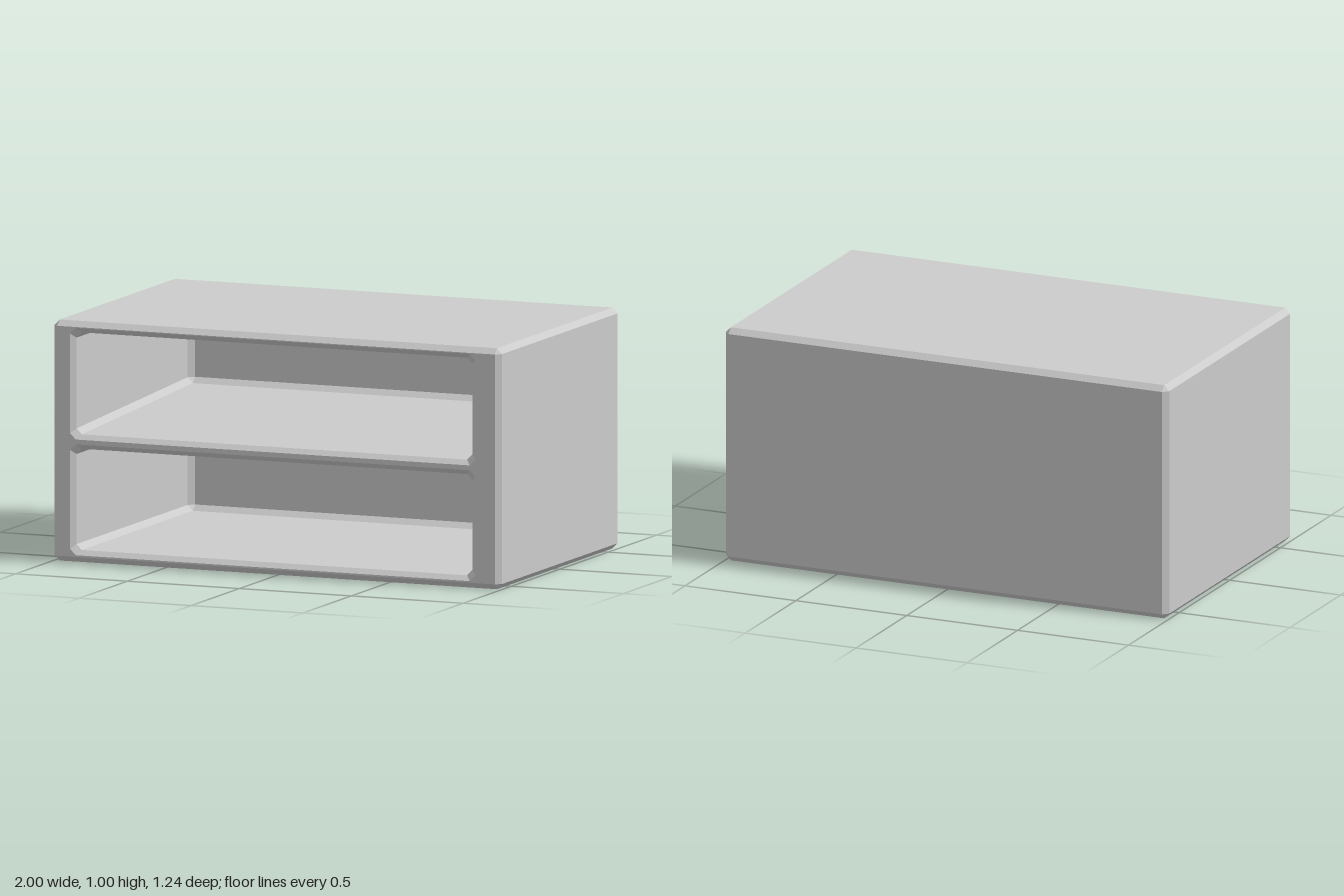
import * as THREE from 'three';

const material = new THREE.MeshStandardMaterial({ color: 0xcccccc, flatShading: true });
const FRONT = 0.62, BEVEL = 0.023;

// Rectangle with cut corners, counter-clockwise seen from the front
function ring(x0, x1, y0, y1, cut, z) {
  return [
    [x0 + cut, y0], [x1 - cut, y0], [x1, y0 + cut], [x1, y1 - cut],
    [x1 - cut, y1], [x0 + cut, y1], [x0, y1 - cut], [x0, y0 + cut],
  ].map(([x, y]) => new THREE.Vector3(x, y, z));
}

// Skin rings from front to back and close the last one; inward turns the faces round
function loft(rings, inward) {
  const points = [];
  const tri = (a, b, c) => {
    if (new THREE.Triangle(a, b, c).getArea() > 1e-8) points.push(a, ...(inward ? [c, b] : [b, c]));
  };
  for (let r = 0; r + 1 < rings.length; r++) {
    const a = rings[r], b = rings[r + 1];
    for (let i = 0; i < 8; i++) {
      const j = (i + 1) % 8;
      tri(a[i], b[i], a[j]);
      tri(a[j], b[i], b[j]);
    }
  }
  const last = rings[rings.length - 1];
  for (let i = 1; i < 7; i++) tri(last[0], last[i + 1], last[i]);
  const geometry = new THREE.BufferGeometry().setFromPoints(points);
  geometry.computeVertexNormals();
  return geometry;
}

export function createModel() {
  const group = new THREE.Group();
  const add = (name, geometry) => {
    const mesh = new THREE.Mesh(geometry, material);
    mesh.name = name;
    group.add(mesh);
  };

  // Bevelled outer shell, open at the front
  const inner = 1 - BEVEL;
  add('cabinetShell', loft([
    ring(-inner, inner, BEVEL, inner, 0, FRONT),
    ring(-1, 1, 0, 1, BEVEL, FRONT - BEVEL),
    ring(-1, 1, 0, 1, BEVEL, BEVEL - FRONT),
    ring(-inner, inner, BEVEL, inner, 0, -FRONT),
  ], false));

  // Front frame, with a hole for each compartment
  const frame = new THREE.Shape([
    new THREE.Vector2(-inner, BEVEL), new THREE.Vector2(inner, BEVEL),
    new THREE.Vector2(inner, inner), new THREE.Vector2(-inner, inner),
  ]);

  // Compartments: bevelled lip, hollow, bevelled back; the upper floor rises to the rear
  const compartments = [
    { name: 'lowerCompartment', y0: 0.03, y1: 0.49, rise: 0 },
    { name: 'upperCompartment', y0: 0.51, y1: 0.973, rise: 0.05 },
  ];
  for (const { name, y0, y1, rise } of compartments) {
    const lip = ring(-0.92, 0.89, y0, y1, 0.025, FRONT);
    frame.holes.push(new THREE.Path(lip.map(p => new THREE.Vector2(p.x, p.y))));
    add(name, loft([
      lip,
      ring(-0.9, 0.868, y0 + 0.02, y1 - 0.02, 0.023, FRONT - 0.02),
      ring(-0.9, 0.868, y0 + 0.02 + rise, y1 - 0.02, 0.023, -0.55),
      ring(-0.877, 0.845, y0 + 0.043 + rise, y1 - 0.045, 0, -0.573),
    ], true));
  }
  const face = new THREE.ShapeGeometry(frame);
  face.translate(0, 0, FRONT);
  add('frontFrame', face);

  return group;
}
